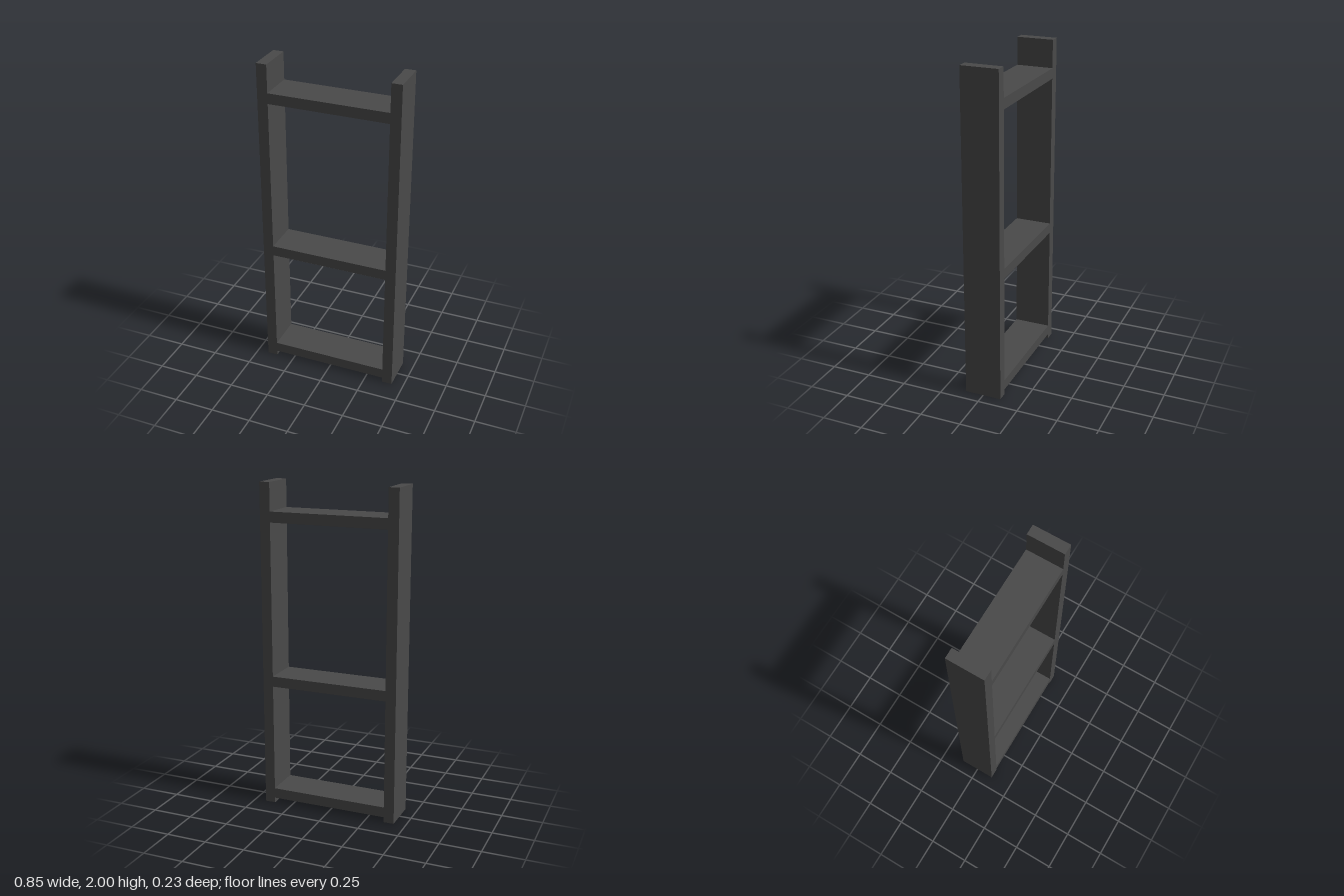
import * as THREE from 'three';

const HALF_WIDTH = 0.427;
const THICKNESS = 0.064;
const DEPTH = 0.226;
const HEIGHT = 2;

export function createModel() {
  const group = new THREE.Group();
  group.name = 'shelfUnit';
  const material = new THREE.MeshStandardMaterial({ color: 0x4a4a4a });

  const addBoard = (name, width, height, x, y) => {
    const board = new THREE.Mesh(new THREE.BoxGeometry(width, height, DEPTH), material);
    board.name = name;
    board.position.set(x, y, 0);
    group.add(board);
  };

  // Side panels, left is +x
  for (const [name, side] of [['leftPanel', 1], ['rightPanel', -1]]) {
    addBoard(name, THICKNESS, HEIGHT, side * (HALF_WIDTH - THICKNESS / 2), HEIGHT / 2);
  }

  // Shelves fitted between the panels
  const span = 2 * (HALF_WIDTH - THICKNESS);
  for (const [name, y] of [['bottomShelf', 0.064], ['middleShelf', 0.799], ['topShelf', 1.799]]) {
    addBoard(name, span, THICKNESS, 0, y);
  }

  return group;
}
